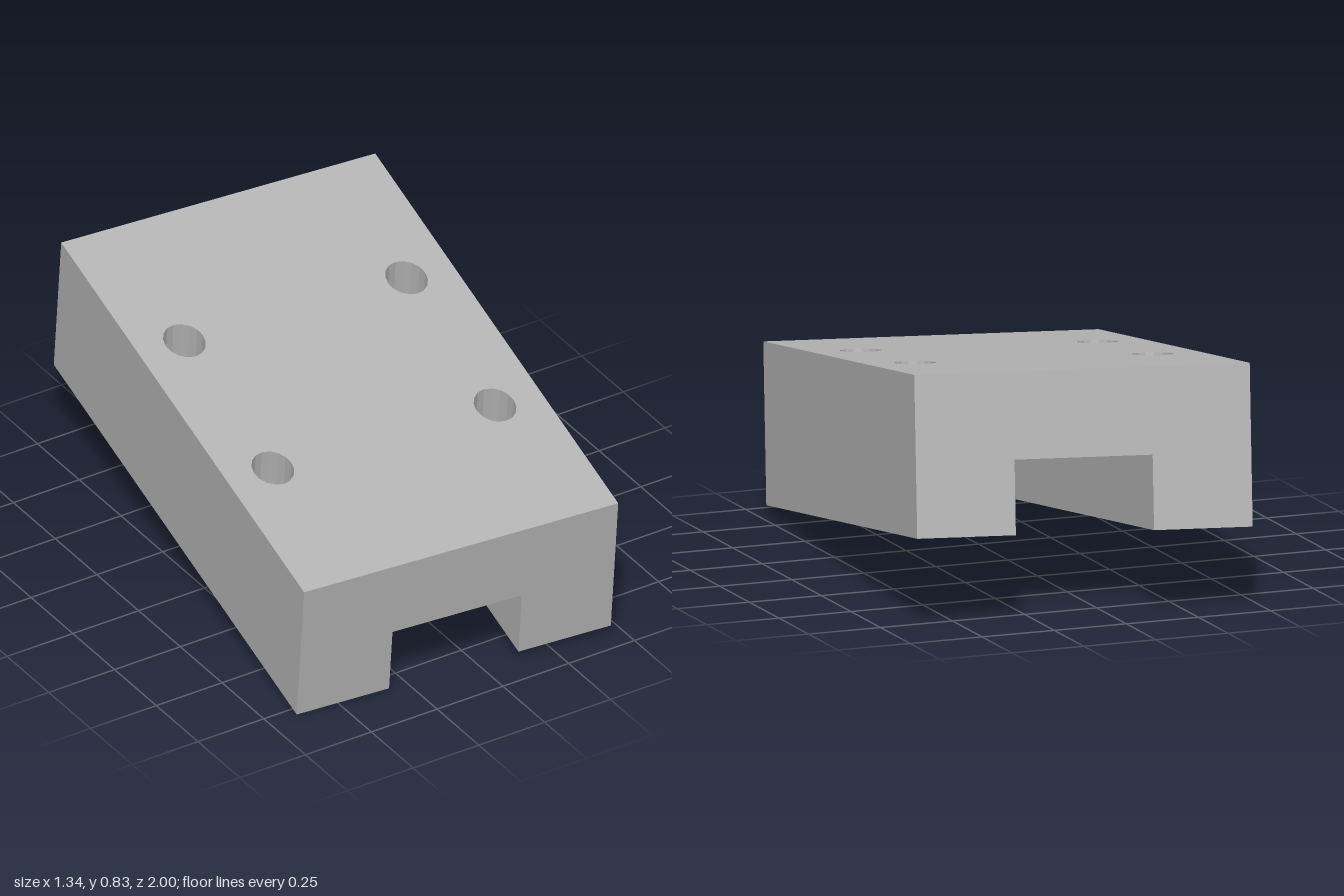
import * as THREE from 'three';

const W = 1.117, H = 0.527, L = 1.819;      // block size
const SLOT_HALF = 0.23, SLOT_H = 0.243;     // channel underneath
const HOLE_X = 0.395, HOLE_Z = 0.331, HOLE_RX = 0.066, HOLE_RZ = 0.082, HOLE_DEPTH = 0.24;
const SIDES = 16;

// Drop the triangles lying in the plane y = level
function withoutPlane(geometry, level) {
  const p = geometry.toNonIndexed().attributes.position;
  const kept = [];
  for (let i = 0; i < p.count; i += 3) {
    const flat = [0, 1, 2].every(k => Math.abs(p.getY(i + k) - level) < 1e-5);
    if (flat) continue;
    for (let k = 0; k < 3; k++) kept.push(p.getX(i + k), p.getY(i + k), p.getZ(i + k));
  }
  const out = new THREE.BufferGeometry();
  out.setAttribute('position', new THREE.Float32BufferAttribute(kept, 3));
  out.computeVertexNormals();
  return out;
}

export function createModel() {
  const group = new THREE.Group();
  group.name = 'channelBlock';
  const grey = new THREE.MeshStandardMaterial({ color: 0xb4b4b4 });
  grey.name = 'grey';

  const block = new THREE.Group();
  block.name = 'tiltedBlock';
  group.add(block);
  const add = (name, geometry) => {
    const mesh = new THREE.Mesh(geometry, grey);
    mesh.name = name;
    block.add(mesh);
    return mesh;
  };

  // Body: channel section run along the length, open on top
  const w = W / 2, h = H / 2, s = SLOT_HALF, slotTop = -h + SLOT_H;
  const section = new THREE.Shape([
    [-w, -h], [-s, -h], [-s, slotTop], [s, slotTop], [s, -h], [w, -h], [w, h], [-w, h],
  ].map(([x, y]) => new THREE.Vector2(x, y)));
  const body = new THREE.ExtrudeGeometry(section, { depth: L, bevelEnabled: false });
  body.translate(0, 0, -L / 2);
  add('channelBody', withoutPlane(body, h));

  // Top face with four oval openings
  const top = new THREE.Shape([
    [-w, -L / 2], [w, -L / 2], [w, L / 2], [-w, L / 2],
  ].map(([x, y]) => new THREE.Vector2(x, y)));

  for (const sx of [-1, 1]) for (const sz of [-1, 1]) {
    const x = sx * HOLE_X, z = sz * HOLE_Z;
    const rim = [];
    for (let i = 0; i < SIDES; i++) {
      const a = (i / SIDES) * Math.PI * 2;
      rim.push(new THREE.Vector2(x + HOLE_RX * Math.cos(a), -z + HOLE_RZ * Math.sin(a)));
    }
    top.holes.push(new THREE.Path(rim));

    // Hole wall, mirrored so that it faces inward
    const wall = new THREE.CylinderGeometry(1, 1, HOLE_DEPTH, SIDES, 1, true).toNonIndexed();
    wall.scale(-HOLE_RX, 1, HOLE_RZ);
    wall.computeVertexNormals();
    add('holeWall', wall).position.set(x, h - HOLE_DEPTH / 2, z);

    // Hole floor
    const floor = new THREE.CircleGeometry(1, SIDES).rotateX(-Math.PI / 2);
    floor.scale(HOLE_RX, 1, HOLE_RZ);
    add('holeFloor', floor).position.set(x, h - HOLE_DEPTH, z);
  }
  add('topFace', new THREE.ShapeGeometry(top).rotateX(-Math.PI / 2).translate(0, h, 0));

  // Tilt of the whole block
  const xAxis = new THREE.Vector3(1.109, 0.027, 0.134).normalize();
  const yAxis = new THREE.Vector3(-0.209, -0.282, 1.785).cross(xAxis).normalize();
  const zAxis = new THREE.Vector3().crossVectors(xAxis, yAxis);
  block.quaternion.setFromRotationMatrix(new THREE.Matrix4().makeBasis(xAxis, yAxis, zAxis));
  block.position.y = 0.416;
  return group;
}
